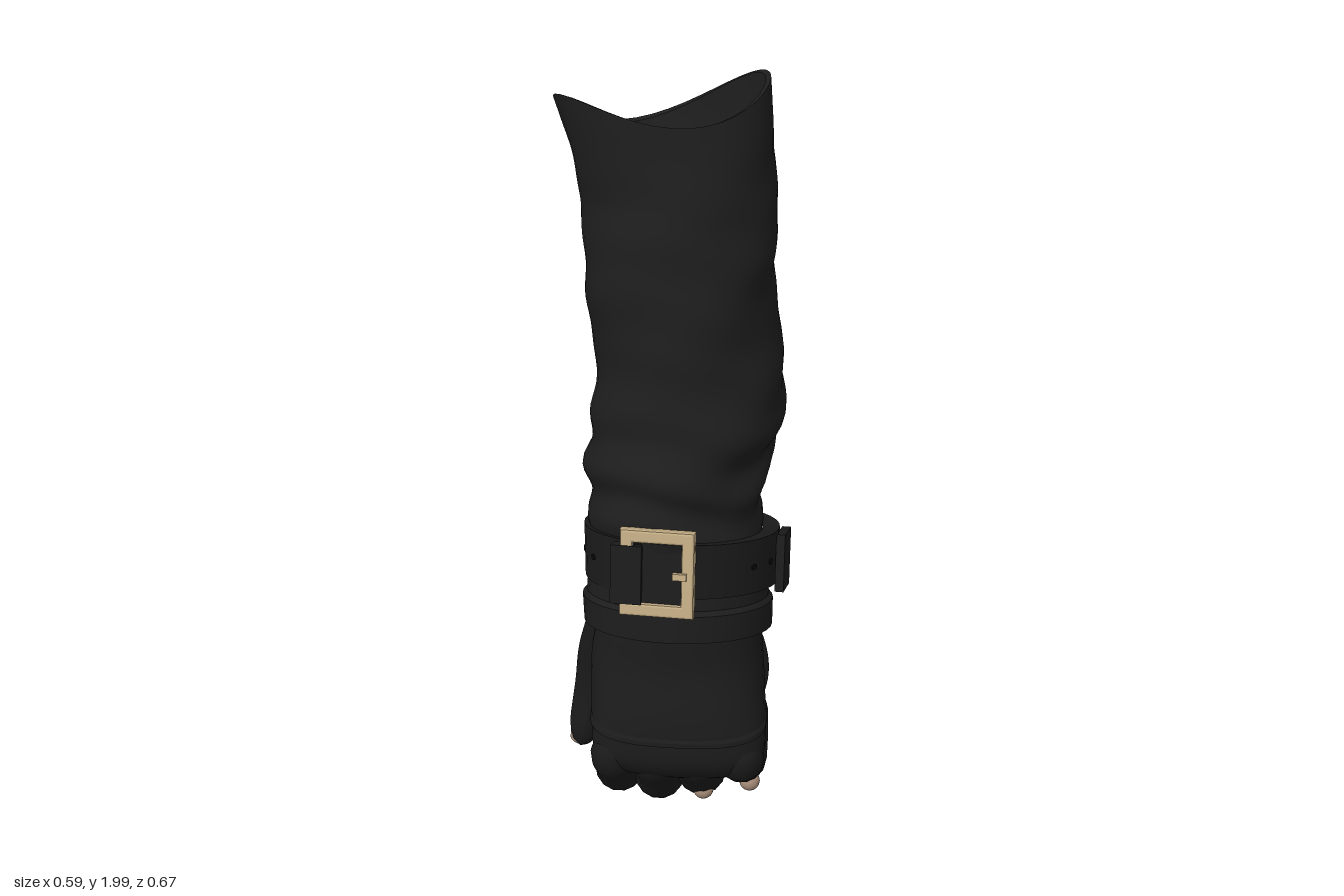
import * as THREE from 'three';
import { toCreasedNormals } from 'three/addons/utils/BufferGeometryUtils.js';

const flat = (name, color) => {
  const m = new THREE.MeshStandardMaterial({ color });
  m.name = name;
  return m;
};

// One ring of points: [y, xMin, xMax, zMin, zMax, slope of y along z, squareness]
const SIDES = 40;
function ring([y, x0, x1, z0, z1, slope = 0, power = 1]) {
  const pts = [];
  for (let j = 0; j < SIDES; j++) {
    const t = (j / SIDES) * Math.PI * 2, c = Math.cos(t), s = Math.sin(t);
    const x = Math.sign(c) * Math.abs(c) ** power * (x1 - x0) / 2;
    const z = Math.sign(s) * Math.abs(s) ** power * (z1 - z0) / 2;
    pts.push(new THREE.Vector3((x0 + x1) / 2 + x, y + slope * z, (z0 + z1) / 2 + z));
  }
  return pts;
}

// Smoothly resample a stack of rings along its length
function smoothRings(rings, count) {
  const curves = rings[0].map((_, j) => new THREE.CatmullRomCurve3(rings.map(r => r[j])));
  return Array.from({ length: count + 1 }, (_, i) => curves.map(c => c.getPoint(i / count)));
}

// Skin over a stack of rings
function loft(rings, crease = 0.7) {
  const pos = [], idx = [];
  rings.forEach(r => r.forEach(p => pos.push(p.x, p.y, p.z)));
  for (let i = 0; i < rings.length - 1; i++) {
    for (let j = 0; j < SIDES; j++) {
      const k = (j + 1) % SIDES;
      const a = i * SIDES + j, b = i * SIDES + k, c = a + SIDES, d = b + SIDES;
      idx.push(a, c, b, b, c, d);
    }
  }
  const g = new THREE.BufferGeometry();
  g.setAttribute('position', new THREE.Float32BufferAttribute(pos, 3));
  g.setIndex(idx);
  return toCreasedNormals(g, crease);
}

// Tapered tube through points, each [x, y, z, radius], with rounded ends
function limb(points) {
  const segs = 28, sides = 14;
  const curve = new THREE.CatmullRomCurve3(points.map(p => new THREE.Vector3(p[0], p[1], p[2])));
  const g = new THREE.TubeGeometry(curve, segs, 1, sides);
  const pos = g.attributes.position, v = new THREE.Vector3();
  for (let i = 0; i <= segs; i++) {
    const u = i / segs, c = curve.getPointAt(u);
    const f = u * (points.length - 1), k = Math.min(Math.floor(f), points.length - 2);
    const end = Math.min(1, Math.min(u, 1 - u) / 0.16);
    const r = THREE.MathUtils.lerp(points[k][3], points[k + 1][3], f - k) * Math.sqrt(1 - (1 - end) ** 2);
    for (let j = 0; j <= sides; j++) {
      const n = i * (sides + 1) + j;
      v.fromBufferAttribute(pos, n).sub(c).multiplyScalar(Math.max(r, 0.0005)).add(c);
      pos.setXYZ(n, v.x, v.y, v.z);
    }
  }
  g.computeVertexNormals();
  return g;
}

export function createModel() {
  const cloth = flat('black cloth', 0x1d1d1d);
  const leather = flat('black leather', 0x1b1b1b);
  const dark = flat('dark holes', 0x0a0a0a);
  const brass = flat('pale brass', 0xbfa982);
  const skin = flat('skin', 0xa58b78);
  const model = new THREE.Group();
  const add = (name, geometry, material, parent = model) => {
    const m = new THREE.Mesh(geometry, material);
    m.name = name;
    parent.add(m);
    return m;
  };

  // Sleeve: wrinkled outside, uneven rim, then a funnel down the inside
  const rim = (...size) => ring(size).map((p, j) => {
    const t = (j / SIDES) * Math.PI * 2, c = Math.cos(t), s = Math.sin(t);
    p.y += 0.03 * c + 0.04 * s + 0.07 * c * c - 0.035 * Math.sin(2 * t);
    return p;
  });
  const outer = smoothRings([
    ring([0.86, -0.2, 0.22, -0.13, 0.26, 0.3]),
    ring([0.96, -0.21, 0.215, -0.155, 0.258, 0.3]),
    ring([1.06, -0.21, 0.21, -0.185, 0.245, 0.25]),
    ring([1.2, -0.205, 0.26, -0.245, 0.205, 0.15]),
    ring([1.34, -0.202, 0.255, -0.292, 0.168, 0.1]),
    ring([1.5, -0.224, 0.235, -0.31, 0.148]),
    ring([1.64, -0.236, 0.235, -0.32, 0.12]),
    ring([1.77, -0.242, 0.225, -0.33, 0.088]),
    rim(1.9, -0.297, 0.207, -0.325, 0.05),
  ], 64);
  outer.forEach((r, i) => r.forEach((p, j) => {
    const t = (j / SIDES) * Math.PI * 2;
    const low = Math.exp(-(((p.y - 1.08) / 0.13) ** 2));
    const fade = Math.min(1, (64 - i) / 10);
    const fold = Math.sin(p.y * 46 + 2.6 * Math.sin(2 * t + 1) + 1.8 * Math.sin(t)) * (0.002 + 0.01 * low)
      + Math.sin(p.y * 13 + 3 * t) * Math.sin(p.y * 7 + t) * 0.007;
    p.x += Math.cos(t) * fold * fade;
    p.z += Math.sin(t) * fold * fade;
  }));
  add('sleeve', loft([
    ...outer,
    rim(1.895, -0.285, 0.195, -0.313, 0.038),
    ring([1.74, -0.19, 0.125, -0.275, 0.0, 0, 0.45]),
    ring([1.69, -0.11, 0.1, -0.22, -0.015, 0, 0.3]),
    ring([1.5, -0.08, 0.09, -0.2, -0.02, 0, 0.25]),
    ring([1.5, 0, 0, -0.11, -0.11]),
  ]), cloth);

  // Cuff with hem, closed underneath towards the wrist
  add('cuff', loft([
    ring([0.72, -0.18, 0.2, -0.07, 0.25, 0.33]),
    ring([0.665, -0.205, 0.235, -0.125, 0.295, 0.33]),
    ring([0.66, -0.225, 0.25, -0.142, 0.31, 0.33]),
    ring([0.735, -0.228, 0.25, -0.146, 0.305, 0.32]),
    ring([0.745, -0.218, 0.24, -0.141, 0.29, 0.32]),
    ring([0.9, -0.207, 0.225, -0.14, 0.262, 0.3]),
    ring([0.97, -0.19, 0.2, -0.13, 0.24, 0.3]),
  ], 0.5), cloth);

  // Wrist strap
  const strap = [-0.222, 0.262, -0.165, 0.288];
  const inside = [-0.19, 0.22, -0.13, 0.25];
  add('wristStrap', loft([
    ring([0.785, ...inside, 0.3]), ring([0.78, ...strap, 0.3]),
    ring([0.93, ...strap, 0.3]), ring([0.925, ...inside, 0.3]),
  ], 0.5), leather);

  // Punched holes around the strap
  [-0.7, -0.4, 0.4, 0.7, 2.6, 3.0].forEach(t => {
    const x = 0.02 + 0.242 * Math.cos(t), z = 0.0615 + 0.2265 * Math.sin(t);
    const hole = add('strapHole', new THREE.CylinderGeometry(0.008, 0.008, 0.006, 10), dark);
    hole.position.set(x, 0.855 + 0.3 * (z - 0.0615), z);
    const n = new THREE.Vector3(Math.cos(t) / 0.242, 0, Math.sin(t) / 0.2265).normalize();
    hole.quaternion.setFromUnitVectors(new THREE.Vector3(0, 1, 0), n);
  });

  // Keeper loop on the side of the strap
  const keeper = add('strapKeeper', new THREE.BoxGeometry(0.022, 0.145, 0.09), leather);
  keeper.position.set(0.272, 0.85, 0.085);
  keeper.rotation.set(-0.29, -0.14, 0);

  // Buckle frame, prong and leather fold
  const buckle = new THREE.Group();
  buckle.name = 'buckle';
  buckle.position.set(-0.02, 0.92, 0.284);
  buckle.rotation.set(-0.24, -0.1, 0);
  model.add(buckle);
  const box = (w, h) => [[-w, -h], [w, -h], [w, h], [-w, h]].map(p => new THREE.Vector2(...p));
  const frame = new THREE.Shape(box(0.084, 0.101));
  frame.holes.push(new THREE.Path(box(0.065, 0.081)));
  const frameGeo = new THREE.ExtrudeGeometry(frame, {
    depth: 0.018, bevelEnabled: true, bevelSize: 0.006, bevelThickness: 0.006, bevelSegments: 2 });
  add('buckleFrame', frameGeo, brass, buckle);
  add('buckleProng', new THREE.BoxGeometry(0.034, 0.016, 0.014), brass, buckle).position.set(0.056, 0, 0.026);
  add('strapFold', new THREE.BoxGeometry(0.075, 0.145, 0.034), leather, buckle).position.set(-0.074, -0.005, 0.01);
  add('strapUnderBuckle', new THREE.BoxGeometry(0.17, 0.15, 0.014), leather, buckle).position.set(0, -0.005, 0.006);

  // Back of the hand and palm
  const palm = smoothRings([
    ring([0.8, -0.17, 0.2, -0.06, 0.25, 0.2]),
    ring([0.68, -0.19, 0.22, -0.06, 0.26, 0.15, 0.9]),
    ring([0.59, -0.205, 0.23, -0.06, 0.268, 0.1, 0.85]),
    ring([0.5, -0.205, 0.238, -0.03, 0.302, 0, 0.8]),
    ring([0.43, -0.2, 0.243, 0.05, 0.312, 0, 0.75]),
    ring([0.36, -0.195, 0.243, 0.09, 0.31, 0, 0.75]),
    ring([0.3, -0.17, 0.22, 0.1, 0.27, 0, 0.8]),
    ring([0.26, 0.02, 0.02, 0.17, 0.17]),
  ].reverse(), 30);
  add('palm', loft(palm, 1.2), leather);
  // Raised edge where the hand cover ends above the knuckles
  add('knuckleHem', loft([
    ring([0.425, -0.2, 0.243, 0.055, 0.312, 0, 0.75]), ring([0.428, -0.203, 0.246, 0.05, 0.317, 0, 0.75]),
    ring([0.44, -0.203, 0.246, 0.035, 0.316, 0, 0.75]), ring([0.45, -0.2, 0.24, 0.03, 0.308, 0, 0.75]),
  ], 0.5), leather);

  // Curled fingers with bare pads facing back: [name, x, lift, radius]
  [['index', -0.14, 0.01, 0.058], ['middle', -0.035, -0.006, 0.06],
    ['ring', 0.075, 0.014, 0.059], ['little', 0.183, 0.062, 0.058]].forEach(([name, x, up, r]) => {
    const tip = up * 0.5;
    add(name + 'Finger', limb([
      [x, 0.42, 0.245, r], [x, 0.36, 0.24, r * 1.05], [x, 0.265 + up * 0.5, 0.175, r], [x, 0.182 + up, 0.09, r * 1.1],
      [x, 0.19 + up, 0.0, r * 1.1], [x, 0.24 + tip, -0.035, r * 1.05], [x, 0.345 + tip, -0.05, r * 0.95],
    ]), leather);
    add(name + 'FingerPad', limb([
      [x, 0.255 + tip, -0.066, r * 0.7], [x, 0.295 + tip, -0.072, r * 0.75], [x, 0.34 + tip, -0.068, r * 0.7],
    ]), skin);
  });
  // Small worn patches on the outer finger joints
  [[0.085, 0.187, 0.163], [0.205, 0.221, 0.163]].forEach(p =>
    add('wornPatch', new THREE.SphereGeometry(0.027, 14, 10), skin).position.set(...p));

  // Thumb with a bare pad facing back
  add('thumb', limb([
    [-0.11, 0.7, 0.05, 0.065], [-0.16, 0.58, 0.0, 0.078], [-0.195, 0.47, -0.035, 0.07],
    [-0.215, 0.37, -0.045, 0.06], [-0.238, 0.27, -0.04, 0.05], [-0.262, 0.165, -0.025, 0.038],
  ]), leather);
  add('thumbPad', limb([
    [-0.243, 0.25, -0.058, 0.034], [-0.256, 0.205, -0.05, 0.035], [-0.267, 0.163, -0.038, 0.027],
  ]), skin);

  // Hanging cord loop behind the hand
  const cord = new THREE.CatmullRomCurve3([
    [0.02, 0.622], [0.12, 0.58], [0.2, 0.45], [0.222, 0.31], [0.18, 0.18], [0.09, 0.095], [0, 0.052],
    [-0.04, 0.02], [-0.068, 0.06], [-0.1, 0.09], [-0.125, 0.22], [-0.13, 0.4], [-0.07, 0.57],
  ].map(([x, y]) => new THREE.Vector3(x, y, -0.198 + 0.025 * y)), true, 'centripetal');
  add('cordLoop', new THREE.TubeGeometry(cord, 90, 0.017, 8, true), leather);

  return model;
}
